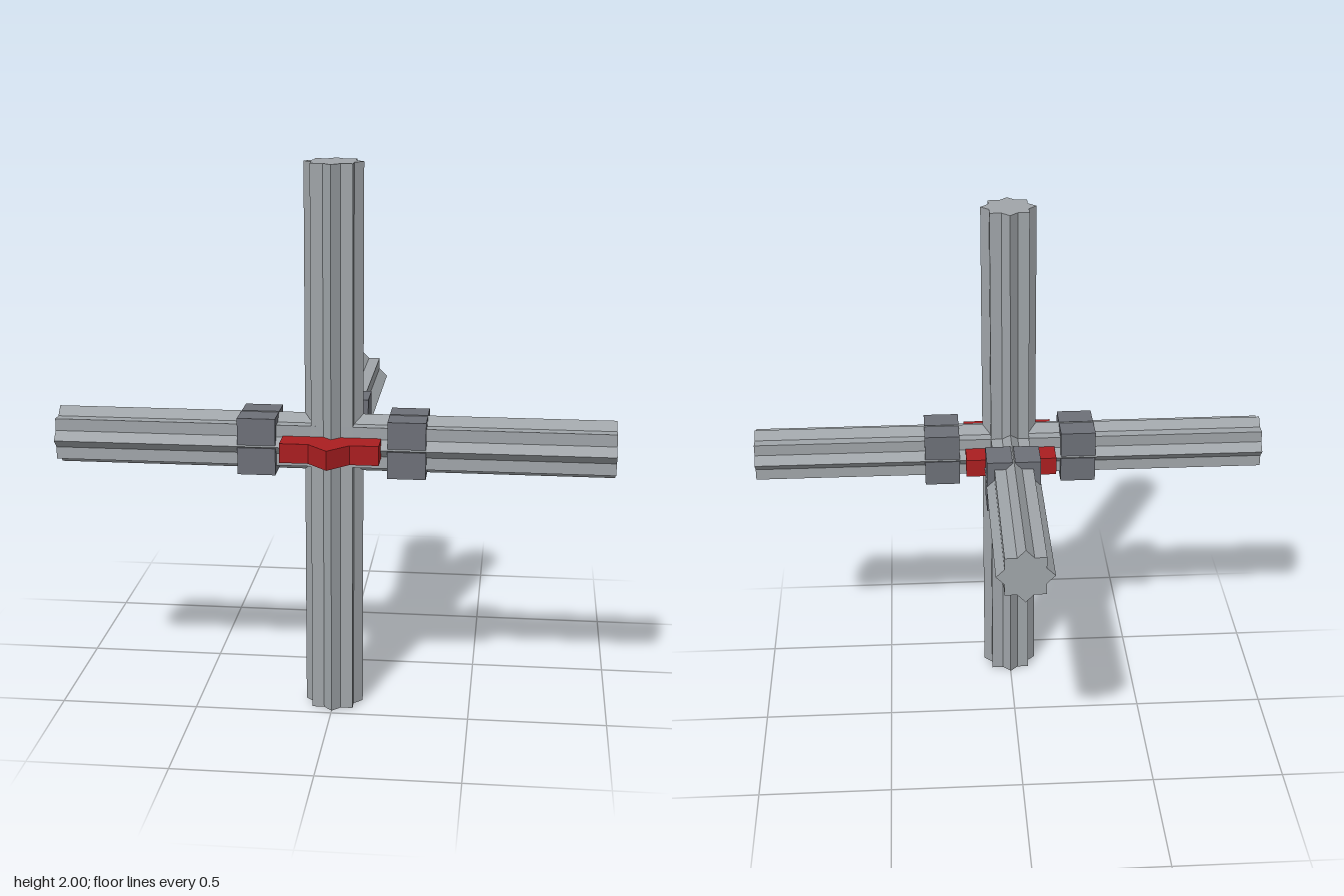
import * as THREE from 'three';

const lightGrey = new THREE.MeshStandardMaterial({ name: 'lightGrey', color: 0xa0a5a9 });
const darkGrey = new THREE.MeshStandardMaterial({ name: 'darkGrey', color: 0x6d7078 });
const red = new THREE.MeshStandardMaterial({ name: 'red', color: 0xaa1e20 });

// Eight-pointed star section of the rods
function starShape(outer, inner) {
  const points = [];
  for (let i = 0; i < 16; i++) {
    const r = i % 2 ? inner : outer;
    const a = (i * Math.PI) / 8;
    points.push(new THREE.Vector2(r * Math.cos(a), r * Math.sin(a)));
  }
  return new THREE.Shape(points);
}

// Straight fluted rod running from z = start to z = end
function makeRod(name, start, end) {
  const geometry = new THREE.ExtrudeGeometry(starShape(0.105, 0.08), {
    depth: end - start, bevelEnabled: false,
  });
  geometry.translate(0, 0, start);
  const rod = new THREE.Mesh(geometry, lightGrey);
  rod.name = name;
  return rod;
}

// Horizontal arm: a rod with four square blocks gripping it near the hub
function makeArm(name, angle) {
  const arm = new THREE.Group();
  arm.name = name;
  arm.add(makeRod(name + 'Rod', 0, 1));
  const block = new THREE.BoxGeometry(0.098, 0.098, 0.136);
  for (const sx of [-1, 1]) {
    for (const sy of [-1, 1]) {
      const mesh = new THREE.Mesh(block, darkGrey);
      mesh.name = 'collarBlock';
      mesh.position.set(sx * 0.054, sy * 0.054, 0.267);
      arm.add(mesh);
    }
  }
  arm.rotation.y = angle;
  return arm;
}

export function createModel() {
  const model = new THREE.Group();
  model.name = 'crossFrame';

  // Everything is built around the hub centre
  const hub = new THREE.Group();
  hub.name = 'hub';
  hub.position.set(0, 1, 0.375);
  model.add(hub);

  const post = makeRod('verticalPost', -1, 1);
  post.rotation.x = -Math.PI / 2;
  hub.add(post);

  hub.add(makeArm('leftArm', Math.PI / 2));
  hub.add(makeArm('rightArm', -Math.PI / 2));
  hub.add(makeArm('backArm', Math.PI));

  // Flat plate through the hub with a point at the front
  const outline = [[-0.175, -0.175], [0.175, -0.175], [0.175, 0.173], [0.073, 0.173],
    [0, 0.25], [-0.073, 0.173], [-0.175, 0.173]];
  const shape = new THREE.Shape(outline.map(([x, z]) => new THREE.Vector2(x, z)));
  const plateGeometry = new THREE.ExtrudeGeometry(shape, { depth: 0.07, bevelEnabled: false });
  plateGeometry.rotateX(Math.PI / 2);
  plateGeometry.translate(0, 0.035, 0);
  const plate = new THREE.Mesh(plateGeometry, red);
  plate.name = 'pointedPlate';
  hub.add(plate);

  return model;
}
